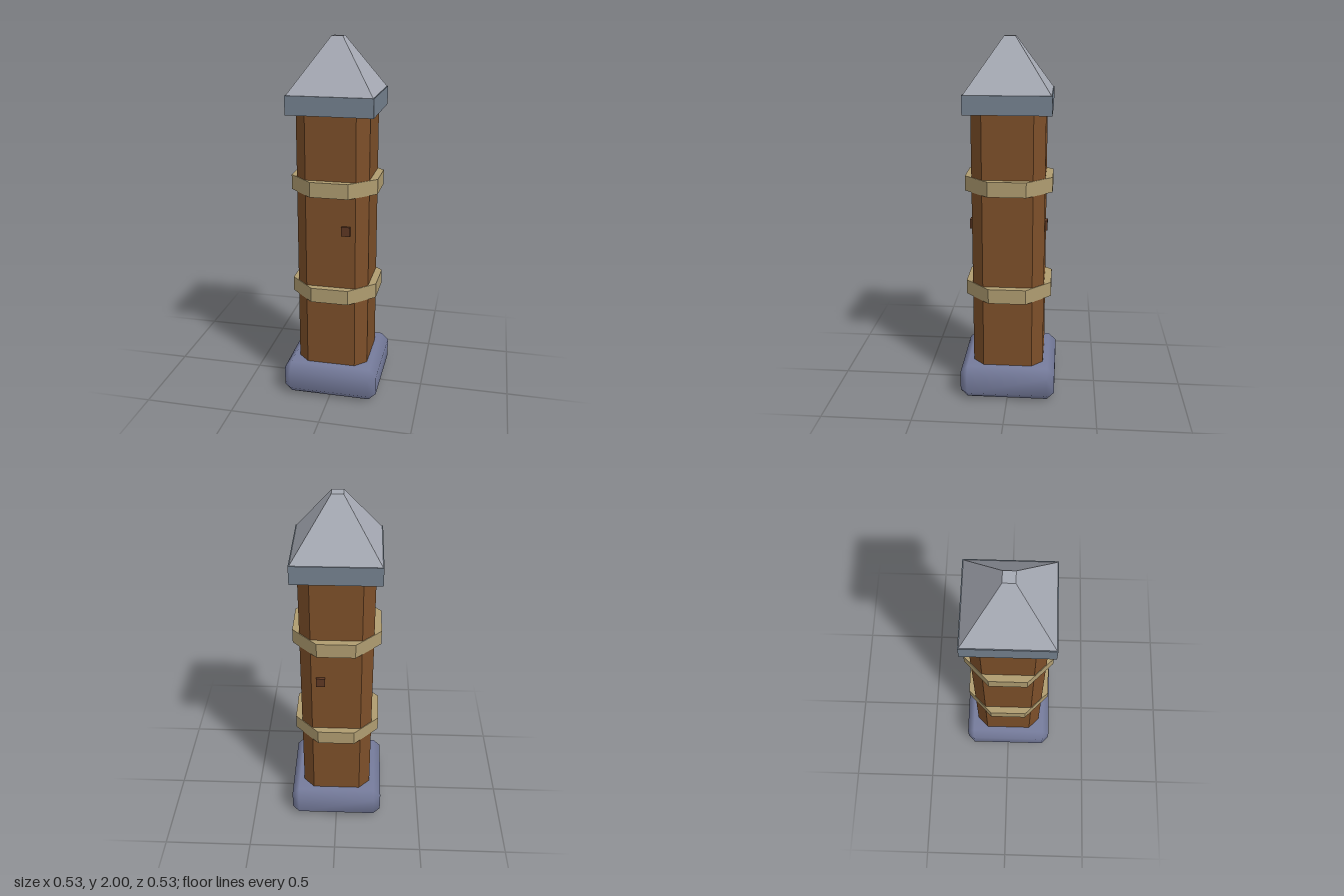
import * as THREE from 'three';
import { mergeVertices } from 'three/addons/utils/BufferGeometryUtils.js';
import { ConvexGeometry } from 'three/addons/geometries/ConvexGeometry.js';

export function createModel() {
  const model = new THREE.Group();

  const add = (name, geometry, color, y = 0, x = 0, flatShading = true) => {
    const mesh = new THREE.Mesh(geometry, new THREE.MeshStandardMaterial({ color, flatShading }));
    mesh.name = name;
    mesh.position.set(x, y, 0);
    model.add(mesh);
    return mesh;
  };

  // Upright prism: a square of half width r with its corners cut back to c
  const cutPrism = (r, c, height) => {
    const outline = [[c, r], [-c, r], [-r, c], [-r, -c], [-c, -r], [c, -r], [r, -c], [r, c]];
    const shape = new THREE.Shape(outline.map(([x, y]) => new THREE.Vector2(x, y)));
    return new THREE.ExtrudeGeometry(shape, { depth: height, bevelEnabled: false }).rotateX(-Math.PI / 2);
  };

  // Box with every edge chamfered, shaded softly across the chamfers
  const chamferedBox = (r, h, c) => {
    const points = [];
    for (const sx of [-1, 1]) for (const sy of [-1, 1]) for (const sz of [-1, 1]) {
      for (const [x, y, z] of [[r, h - c, r - c], [r - c, h, r - c], [r - c, h - c, r]]) {
        points.push(new THREE.Vector3(sx * x, sy * y, sz * z));
      }
    }
    const geometry = new ConvexGeometry(points);
    geometry.deleteAttribute('normal');
    const merged = mergeVertices(geometry);
    merged.computeVertexNormals();
    return merged;
  };

  // Stone foot and wooden post
  add('base', chamferedBox(0.267, 0.095, 0.041), 0x757b9b, 0.095, 0, false);
  add('post', cutPrism(0.198, 0.136, 1.5), 0x7c4f29, 0.15);

  // Rope bands
  add('lowerBand', cutPrism(0.237, 0.102, 0.082), 0xaf9c70, 0.585);
  add('upperBand', cutPrism(0.237, 0.102, 0.082), 0xaf9c70, 1.188);

  // Peg through the post, showing at front and back
  add('peg', new THREE.BoxGeometry(0.048, 0.052, 0.425), 0x5e3823, 1.0, 0.085);

  // Cap slab and truncated pyramid roof
  add('capSlab', new THREE.BoxGeometry(0.462, 0.1, 0.462), 0x75818f, 1.666);
  const roof = new THREE.CylinderGeometry(0.03 * Math.SQRT2, 0.226 * Math.SQRT2, 0.284, 4).rotateY(Math.PI / 4);
  add('roof', roof, 0xa6aab4, 1.858);

  return model;
}
